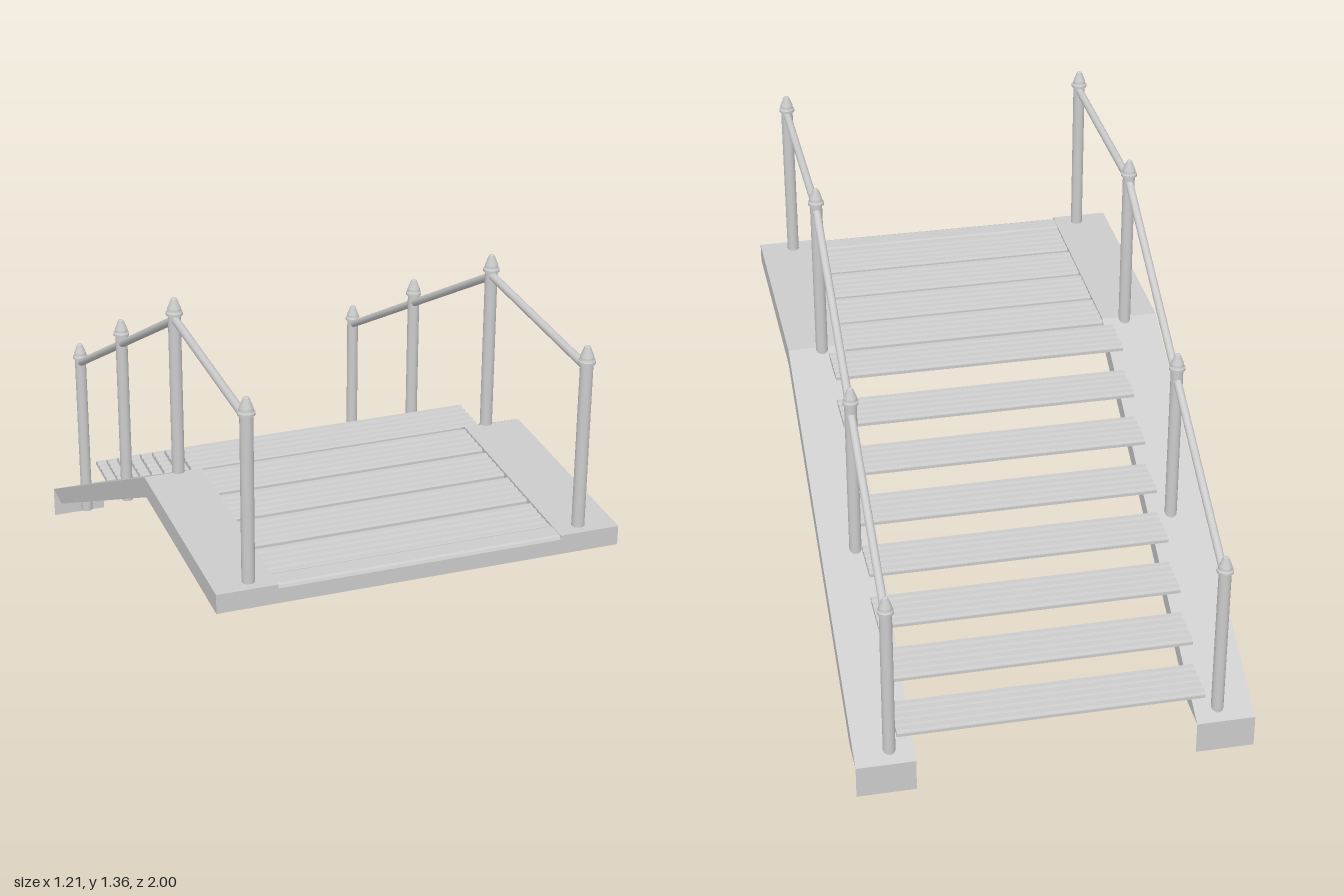
import * as THREE from 'three';

const grey = new THREE.MeshStandardMaterial({ color: 0xcccccc });
const greyDouble = new THREE.MeshStandardMaterial({ color: 0xcccccc, side: THREE.DoubleSide });

function add(parent, name, geometry, material = grey) {
  const mesh = new THREE.Mesh(geometry, material);
  mesh.name = name;
  parent.add(mesh);
  return mesh;
}

// Extrude a (z, y) outline sideways from x0 to x1
function sideways(points, x0, x1) {
  const shape = new THREE.Shape(points.map(([z, y]) => new THREE.Vector2(z, y)));
  const geometry = new THREE.ExtrudeGeometry(shape, { depth: x1 - x0, bevelEnabled: false });
  return geometry.rotateY(-Math.PI / 2).translate(x1, 0, 0);
}

// Ribbed plank section: flat underside, five ridges along the top
function plankOutline(depth, height) {
  const ridges = 5, pitch = depth / ridges, groove = 0.006;
  const points = [[-depth / 2, 0], [depth / 2, 0]];
  for (let i = 0; i < ridges; i++) {
    const z = depth / 2 - i * pitch;
    points.push([z, height - groove], [z - pitch * 0.15, height],
      [z - pitch * 0.7, height], [z - pitch * 0.85, height - groove]);
  }
  points.push([-depth / 2, height - groove]);
  return points;
}

// Round rail between two (z, y) points
function rail(parent, name, x, [z0, y0], [z1, y1]) {
  const path = new THREE.LineCurve3(new THREE.Vector3(x, y0, z0), new THREE.Vector3(x, y1, z1));
  add(parent, name, new THREE.TubeGeometry(path, 1, 0.0125, 16), greyDouble);
}

export function createModel() {
  const model = new THREE.Group();
  model.name = 'stairsWithLanding';

  // Post with collar and pointed cap, height 0.645
  const postProfile = [[0, 0], [0.019, 0], [0.019, 0], [0.019, 0.59], [0.019, 0.59],
    [0.025, 0.592], [0.025, 0.592], [0.025, 0.6], [0.025, 0.6], [0.02, 0.603],
    [0.02, 0.612], [0.02, 0.612], [0.008, 0.643], [0.008, 0.643], [0, 0.645]];
  const postGeometry = new THREE.LatheGeometry(
    postProfile.map(([r, y]) => new THREE.Vector2(r, y)), 20);
  const posts = [[0.955, 0.71], [0.265, 0.71], [-0.37, 0.37], [-0.955, 0.03]];

  for (const [side, label] of [[1, 'left'], [-1, 'right']]) {
    const group = new THREE.Group();
    group.name = label + 'Side';
    model.add(group);
    const [x0, x1] = side > 0 ? [0.425, 0.605] : [-0.605, -0.425];

    // Landing edge running on into the sloping stringer
    add(group, 'stringer', sideways([[1, 0.727], [1, 0.787], [0.27, 0.787],
      [-1, 0.105], [-0.885, 0.105], [0.285, 0.727]], x0, x1));

    // Thin foot plate hanging from the lower end
    add(group, 'footPlate', new THREE.PlaneGeometry(0.18, 0.105), greyDouble)
      .position.set(side * 0.515, 0.0525, -1);

    for (const [z, y] of posts) {
      add(group, 'post', postGeometry).position.set(side * 0.498, y, z);
    }
    rail(group, 'landingRail', side * 0.498, [0.955, 1.288], [0.265, 1.288]);
    rail(group, 'stairRail', side * 0.498, [0.265, 1.285], [-0.955, 0.603]);
  }

  // Front beam with softened top edges
  add(model, 'frontBeam', sideways([[0.925, 0.727], [1, 0.727], [1, 0.774], [0.996, 0.782],
    [0.988, 0.785], [0.937, 0.785], [0.929, 0.782], [0.925, 0.774]], -0.427, 0.427));

  // Landing planks
  const plank = sideways(plankOutline(0.155, 0.016), -0.428, 0.428);
  for (let i = 0; i < 4; i++) {
    add(model, 'landingPlank', plank).position.set(0, 0.765, 0.338 + i * 0.1705);
  }

  // Stair treads, each ending just over the stringers
  const tread = sideways(plankOutline(0.15, 0.016), -0.452, 0.478);
  for (let i = 0; i < 8; i++) {
    add(model, 'tread', tread).position.set(0, 0.763 - i * 0.0822, 0.17 - i * 0.1537);
  }
  return model;
}
